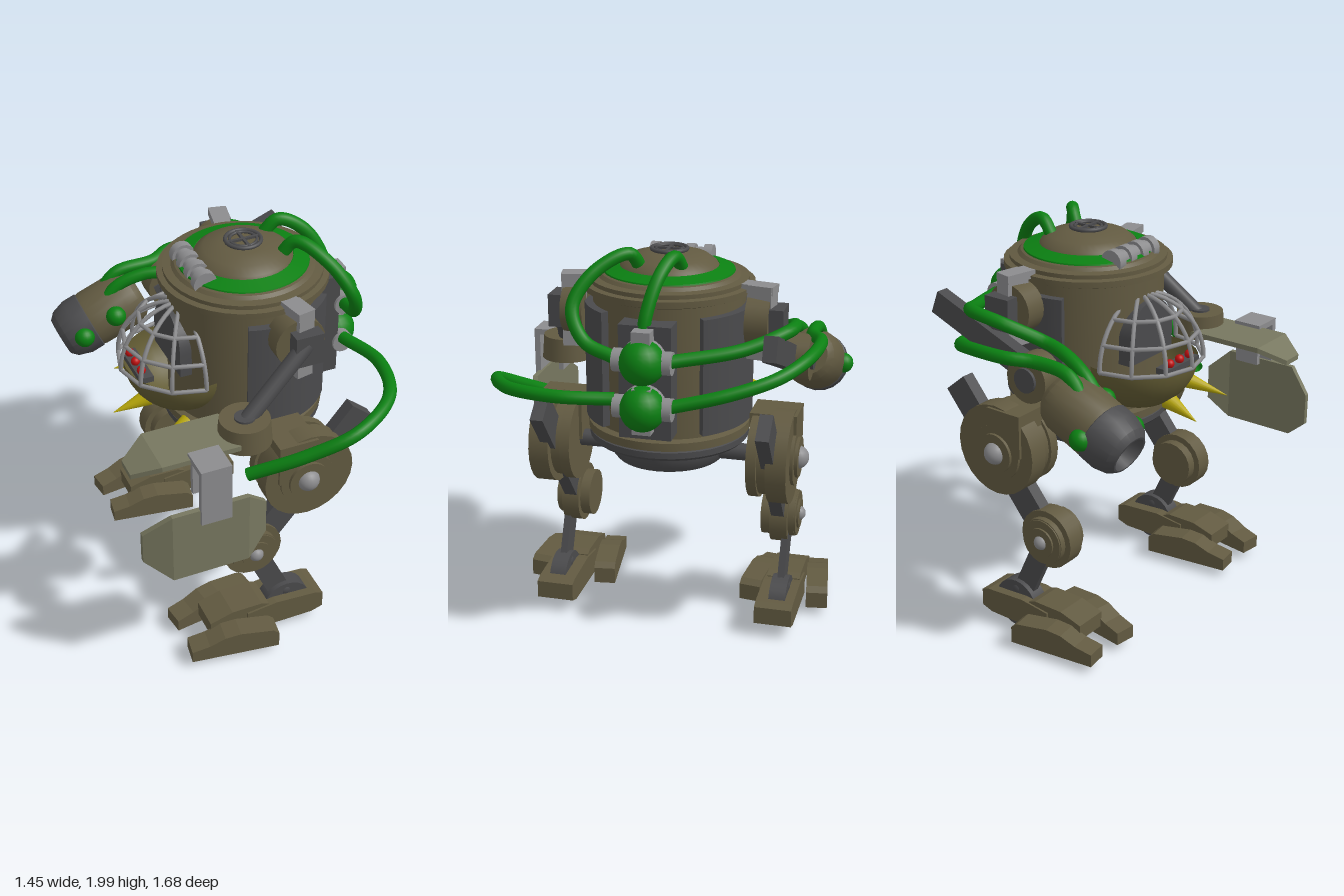
import * as THREE from 'three';
import { toCreasedNormals } from 'three/addons/utils/BufferGeometryUtils.js';

const mat = (c) => new THREE.MeshStandardMaterial({ color: c, side: THREE.DoubleSide });
const M = {
  brown: mat(0x625a41), dark: mat(0x4a4a4c), grey: mat(0x8c8c8e), green: mat(0x0b8012),
  plate: mat(0x77775f), bowl: mat(0x625b33), yellow: mat(0xb8a80a), red: mat(0xc01010),
};
const V = (p) => new THREE.Vector3(...p);
const UP = new THREE.Vector3(0, 1, 0);

function add(parent, name, geo, material, pos = [0, 0, 0], rot = [0, 0, 0]) {
  const m = new THREE.Mesh(geo, material);
  m.name = name;
  m.position.set(...pos);
  m.rotation.set(...rot);
  parent.add(m);
  return m;
}
const box = (g, n, m, size, pos, rot) => add(g, n, new THREE.BoxGeometry(...size), m, pos, rot);
const ball = (g, n, m, r, pos) => add(g, n, new THREE.SphereGeometry(r, 20, 14), m, pos);
// drum with its axis along z
const drum = (g, n, m, r, depth, pos, seg = 28) =>
  add(g, n, new THREE.CylinderGeometry(r, r, depth, seg), m, pos, [Math.PI / 2, 0, 0]);
// round rod between two points
function rod(g, n, m, a, b, r0, r1 = r0) {
  const A = V(a), B = V(b), d = B.clone().sub(A);
  const mesh = add(g, n, new THREE.CylinderGeometry(r1, r0, d.length(), 16), m, A.add(B).multiplyScalar(0.5).toArray());
  mesh.quaternion.setFromUnitVectors(UP, d.normalize());
  return mesh;
}
// flat bar in the xy plane between two points
function bar(g, n, m, a, b, width, thick) {
  const dx = b[0] - a[0], dy = b[1] - a[1];
  return box(g, n, m, [Math.hypot(dx, dy), width, thick],
    [(a[0] + b[0]) / 2, (a[1] + b[1]) / 2, a[2]], [0, 0, Math.atan2(dy, dx)]);
}
function lathe(g, n, m, pts, pos, seg = 40) {
  const geo = new THREE.LatheGeometry(pts.map((p) => new THREE.Vector2(...p)), seg);
  return add(g, n, toCreasedNormals(geo, 0.5), m, pos);
}
function hose(g, n, pts, r = 0.032) {
  const curve = new THREE.CatmullRomCurve3(pts.map(V));
  return add(g, n, new THREE.TubeGeometry(curve, 48, r, 12), M.green);
}
function extrude(pts, depth) {
  const s = new THREE.Shape(pts.map((p) => new THREE.Vector2(...p)));
  return new THREE.ExtrudeGeometry(s, { depth, bevelEnabled: false }).translate(0, 0, -depth / 2);
}

function buildBody(root) {
  const g = new THREE.Group();
  g.name = 'body';
  g.position.set(0.112, 0, -0.02);
  root.add(g);
  lathe(g, 'underside', M.dark, [[0, 0.885], [0.23, 0.89], [0.265, 0.9], [0.285, 0.925], [0.295, 0.96], [0.3, 1.0], [0.38, 1.005], [0.395, 1.02], [0.395, 1.05], [0.37, 1.06]]);
  lathe(g, 'hull', M.brown, [[0.36, 1.05], [0.4, 1.06], [0.4, 1.1], [0.37, 1.11], [0.37, 1.75], [0.4, 1.76], [0.413, 1.765],
    [0.413, 1.795], [0.385, 1.8], [0.385, 1.82], [0.345, 1.825], [0.33, 1.84], [0.24, 1.865], [0.23, 1.88], [0.19, 1.91], [0.11, 1.93], [0, 1.935]]);
  lathe(g, 'greenRing', M.green, [[0.322, 1.83], [0.315, 1.85], [0.24, 1.87], [0.23, 1.86]]);
  // curved side panels
  for (const s of [1, -1]) {
    const a0 = 0.64, a1 = 1.92, sh = new THREE.Shape();
    sh.absarc(0, 0, 0.41, a0, a1, false);
    sh.absarc(0, 0, 0.35, a1, a0, true);
    const geo = new THREE.ExtrudeGeometry(sh, { depth: 0.57, bevelEnabled: false, curveSegments: 10 });
    geo.rotateX(-Math.PI / 2);
    if (s > 0) geo.rotateY(-a0 - a1);
    add(g, 'sidePanel', toCreasedNormals(geo, 0.5), M.dark, [0, 1.13, 0]);
  }
  // roof hatch
  add(g, 'hatchRing', new THREE.TorusGeometry(0.085, 0.01, 8, 28), M.dark, [0, 1.945, 0], [Math.PI / 2, 0, 0]);
  add(g, 'hatchRing', new THREE.TorusGeometry(0.065, 0.007, 8, 28), M.dark, [0, 1.945, 0], [Math.PI / 2, 0, 0]);
  for (const a of [0, Math.PI / 2]) box(g, 'hatchCross', M.dark, [0.16, 0.012, 0.014], [0, 1.945, 0], [0, a, 0]);
  // coil at the front of the roof
  for (let i = 0; i < 7; i++) drum(g, 'coilRing', M.grey, i % 2 ? 0.043 : 0.058, 0.044, [-0.257, 1.85, -0.135 + i * 0.045], 18);
  // rear power unit
  box(g, 'rearPanel', M.dark, [0.13, 0.55, 0.25], [0.4, 1.42, 0]);
  for (const y of [1.535, 1.31]) {
    drum(g, 'hoseCoupling', M.grey, 0.055, 0.28, [0.49, y, 0], 20);
    add(g, 'sphereCollar', new THREE.CylinderGeometry(0.1, 0.115, 0.1, 24), M.grey, [0.47, y, 0], [0, 0, -Math.PI / 2]);
    box(g, 'couplingBracket', M.grey, [0.09, 0.22, 0.09], [0.49, y + (y > 1.4 ? 0.04 : -0.01), 0]);
    ball(g, 'powerSphere', M.green, 0.108, [0.505, y, 0]);
  }
  rod(g, 'hipAxle', M.dark, [0.06, 0.96, -0.6], [0.06, 0.96, 0.6], 0.042);
}

function buildCockpit(root) {
  const g = new THREE.Group(), R = 0.315;
  g.name = 'cockpit';
  g.position.set(-0.205, 1.36, -0.03);
  root.add(g);
  const bowl = new THREE.SphereGeometry(0.29, 28, 12, 0, Math.PI * 2, Math.PI / 2, Math.PI / 2).scale(1, 0.9, 1);
  add(g, 'bowl', bowl, M.bowl);
  // cage hoops and ribs
  for (const e of [0, 0.42, 0.85]) {
    const geo = new THREE.TorusGeometry(R * Math.cos(e), 0.011, 6, 6, Math.PI).rotateZ(Math.PI / 2).rotateX(Math.PI / 2);
    add(g, 'cageHoop', geo, M.grey, [0, R * Math.sin(e), 0]);
  }
  for (let i = -3; i <= 3; i++)
    add(g, 'cageRib', new THREE.TorusGeometry(R, 0.011, 6, 12, Math.PI / 2), M.grey, [0, 0, 0], [0, Math.PI + i * Math.PI / 6, 0]);
  // cabin interior with an arched door
  const arch = new THREE.Shape();
  arch.moveTo(-0.17, 0);
  arch.lineTo(0.17, 0);
  arch.lineTo(0.17, 0.12);
  arch.absarc(0, 0.12, 0.17, 0, Math.PI, false);
  const door = new THREE.ExtrudeGeometry(arch, { depth: 0.12, bevelEnabled: false }).rotateY(Math.PI / 2);
  add(g, 'cabinDoor', toCreasedNormals(door, 0.5), M.dark, [-0.075, 0, 0]);
  box(g, 'console', M.dark, [0.07, 0.03, 0.26], [-0.23, 0.0, 0]);
  for (const z of [-0.08, 0, 0.08]) ball(g, 'redButton', M.red, 0.022, [-0.24, 0.03, z]);
  // spikes under the bowl
  const spikes = [[[-0.05, -0.2, -0.28], [-0.23, -0.26, -0.37]], [[-0.18, -0.2, 0], [-0.36, -0.26, -0.02]], [[-0.08, -0.2, 0.27], [-0.3, -0.26, 0.34]]];
  for (const [a, b] of spikes) rod(g, 'spike', M.yellow, a, b, 0.045, 0.001);
}

function buildLeg(root, s) {
  const g = new THREE.Group();
  g.name = s > 0 ? 'leftLeg' : 'rightLeg';
  g.position.z = -0.02;
  root.add(g);
  const z = (v) => v * s;
  // hip
  drum(g, 'hipDrum', M.brown, 0.2, 0.2, [0.175, 0.965, z(0.54)], 24);
  drum(g, 'hipOuterDisc', M.brown, 0.232, 0.1, [0.185, 0.965, z(0.59)], 24);
  drum(g, 'hipInnerDisc', M.brown, 0.215, 0.05, [0.175, 0.965, z(0.465)], 24);
  drum(g, 'hipRing', M.brown, 0.14, 0.05, [0.17, 0.96, z(0.63)]);
  drum(g, 'hipRing', M.brown, 0.1, 0.04, [0.17, 0.96, z(0.65)]);
  ball(g, 'hipHub', M.grey, 0.058, [0.17, 0.96, z(0.655)]);
  box(g, 'hipCover', M.brown, [0.2, 0.22, 0.23], [0.12, 1.075, z(0.54)]);
  // thigh, knee and shin
  bar(g, 'thigh', M.dark, [0.49, 1.22, z(0.547)], [-0.05, 0.56, z(0.547)], 0.145, 0.065);
  drum(g, 'kneeDrum', M.brown, 0.12, 0.17, [-0.085, 0.545, z(0.54)], 20);
  drum(g, 'kneeDisc', M.brown, 0.152, 0.09, [-0.085, 0.545, z(0.55)], 20);
  drum(g, 'kneeRing', M.brown, 0.115, 0.02, [-0.085, 0.545, z(0.622)]);
  drum(g, 'kneeRing', M.brown, 0.075, 0.04, [-0.085, 0.545, z(0.622)]);
  ball(g, 'kneeHub', M.grey, 0.038, [-0.085, 0.545, z(0.63)]);
  bar(g, 'shin', M.dark, [-0.085, 0.545, z(0.58)], [0.095, 0.15, z(0.58)], 0.11, 0.035);
  // ankle and foot
  drum(g, 'ankleDisc', M.dark, 0.128, 0.085, [0.095, 0.134, z(0.58)], 24);
  ball(g, 'ankleBall', M.dark, 0.048, [0.095, 0.215, z(0.58)]);
  add(g, 'heel', extrude([[-0.14, 0.06], [0.22, 0.06], [0.28, 0.08], [0.28, 0.17], [0.24, 0.185], [0.02, 0.2], [-0.14, 0.18]], 0.19), M.brown, [0, 0, z(0.573)]);
  add(g, 'instep', extrude([[-0.34, 0.1], [-0.02, 0.1], [-0.02, 0.2], [-0.06, 0.215], [-0.22, 0.215], [-0.34, 0.18]], 0.17), M.brown, [0, 0, z(0.573)]);
  const toe = [[-0.47, 0.045], [-0.02, 0.045], [-0.02, 0.13], [-0.05, 0.155], [-0.22, 0.175], [-0.3, 0.165], [-0.38, 0.13], [-0.47, 0.11]];
  for (const k of [1, -1])
    add(g, 'toe', extrude(toe, 0.11), M.brown, [0, 0, z(0.573) + k * 0.18], [0, -k * 0.14, 0]);
}

function buildShoulder(root, s) {
  const g = new THREE.Group();
  g.name = 'shoulder';
  g.position.z = -0.03;
  root.add(g);
  drum(g, 'shoulderDisc', M.brown, 0.125, 0.11, [0.185, 1.645, s * 0.45], 24);
  box(g, 'shoulderBracket', M.grey, [0.085, 0.36, 0.12], [0.195, 1.64, s * 0.46], [0, s * 0.2, 0]);
  box(g, 'bracketArm', M.grey, [0.085, 0.04, 0.21], [0.18, 1.8, s * 0.42], [0, s * 0.2, 0]);
  box(g, 'shoulderJoint', M.dark, [0.14, 0.16, 0.08], [0.2, 1.64, s * 0.535]);
}

// octagonal plate with bent ends, lying in xy and facing z
function bentPlate() {
  const xs = [-0.305, -0.18, 0.2, 0.305], hs = [0.08, 0.19, 0.19, 0.09], bend = [-0.06, 0, 0, -0.045], pos = [], idx = [];
  xs.forEach((x, i) => {
    for (const [y, t] of [[-1, -0.013], [1, -0.013], [1, 0.013], [-1, 0.013]]) pos.push(x, y * hs[i], bend[i] + t);
  });
  for (let i = 0; i < 3; i++) for (let j = 0; j < 4; j++) {
    const a = i * 4 + j, b = i * 4 + (j + 1) % 4;
    idx.push(a, b, a + 4, b, b + 4, a + 4);
  }
  idx.push(0, 2, 1, 0, 3, 2, 12, 13, 14, 12, 14, 15);
  const geo = new THREE.BufferGeometry();
  geo.setAttribute('position', new THREE.Float32BufferAttribute(pos, 3));
  geo.setIndex(idx);
  return toCreasedNormals(geo, 0.1);
}

function buildShieldArm(root) {
  const g = new THREE.Group();
  g.name = 'shieldArm';
  root.add(g);
  rod(g, 'upperArm', M.dark, [0.2, 1.66, 0.51], [-0.15, 1.36, 0.59], 0.04);
  add(g, 'elbow', new THREE.CylinderGeometry(0.12, 0.13, 0.12, 28), M.brown, [-0.145, 1.335, 0.59]);
  add(g, 'elbowCap', new THREE.CylinderGeometry(0.05, 0.05, 0.14, 20), M.dark, [-0.145, 1.335, 0.59]);
  add(g, 'topPlate', bentPlate().scale(1, 0.7, 1), M.plate, [-0.415, 1.32, 0.57], [-Math.PI / 2, 0, 0]);
  add(g, 'sidePlate', bentPlate(), M.plate, [-0.415, 0.93, 0.8]);
  box(g, 'plateHanger', M.grey, [0.15, 0.29, 0.03], [-0.385, 1.19, 0.815]);
  box(g, 'plateHanger', M.grey, [0.15, 0.03, 0.16], [-0.385, 1.335, 0.75]);
  box(g, 'plateHanger', M.grey, [0.13, 0.2, 0.025], [-0.385, 1.23, 0.69]);
}

function buildGunArm(root) {
  const g = new THREE.Group();
  g.name = 'gunArm';
  root.add(g);
  bar(g, 'upperArm', M.dark, [0.57, 1.63, -0.6], [-0.12, 1.36, -0.6], 0.12, 0.065);
  drum(g, 'elbow', M.brown, 0.115, 0.12, [-0.05, 1.4, -0.635], 24);
  drum(g, 'elbowCap', M.dark, 0.06, 0.15, [-0.05, 1.4, -0.635]);
  const gun = new THREE.Group();
  gun.name = 'gun';
  gun.position.set(-0.14, 1.39, -0.65);
  gun.quaternion.setFromUnitVectors(UP, V([-0.5, -0.22, -0.02]).normalize());
  g.add(gun);
  lathe(gun, 'barrel', M.brown, [[0, 0.06], [0.1, 0.06], [0.13, 0.09], [0.15, 0.15], [0.15, 0.34], [0.14, 0.38]], [0, 0, 0], 20);
  lathe(gun, 'muzzle', M.dark, [[0.14, 0.35], [0.152, 0.36], [0.152, 0.43], [0.13, 0.5], [0.1, 0.53], [0.09, 0.53], [0.08, 0.47], [0, 0.47]], [0, 0, 0], 20);
  for (const p of [[-0.45, 1.25, -0.8], [-0.54, 1.24, -0.53], [-0.37, 1.33, -0.52]]) ball(g, 'gunDome', M.green, 0.052, p);
}

export function createModel() {
  const root = new THREE.Group();
  root.name = 'walker';
  buildBody(root);
  buildCockpit(root);
  for (const s of [1, -1]) {
    buildLeg(root, s);
    buildShoulder(root, s);
  }
  buildShieldArm(root);
  buildGunArm(root);
  // hoses from the rear unit to the roof, the gun and the shield arm
  hose(root, 'roofHose', [[0.25, 1.88, -0.12], [0.33, 1.96, -0.1], [0.45, 1.9, -0.06], [0.54, 1.74, -0.02], [0.57, 1.56, 0]]);
  hose(root, 'roofHose', [[0.26, 1.88, 0.08], [0.32, 1.96, 0.12], [0.43, 1.89, 0.26], [0.52, 1.74, 0.34], [0.57, 1.6, 0.27], [0.6, 1.54, 0.11]]);
  hose(root, 'gunHose', [[0.6, 1.54, -0.14], [0.47, 1.58, -0.45], [0.32, 1.64, -0.64], [0.14, 1.62, -0.64], [-0.04, 1.53, -0.53], [-0.2, 1.51, -0.57], [-0.32, 1.46, -0.6], [-0.4, 1.38, -0.61]]);
  hose(root, 'gunHose', [[0.6, 1.32, -0.14], [0.54, 1.38, -0.4], [0.43, 1.44, -0.61], [0.28, 1.49, -0.72], [0.02, 1.51, -0.75], [-0.1, 1.5, -0.69], [-0.3, 1.48, -0.69], [-0.39, 1.38, -0.7]]);
  hose(root, 'shieldHose', [[0.6, 1.34, 0.12], [0.66, 1.35, 0.38], [0.58, 1.34, 0.64], [0.34, 1.3, 0.79], [0.11, 1.19, 0.73], [-0.13, 1.06, 0.6]]);
  return root;
}
